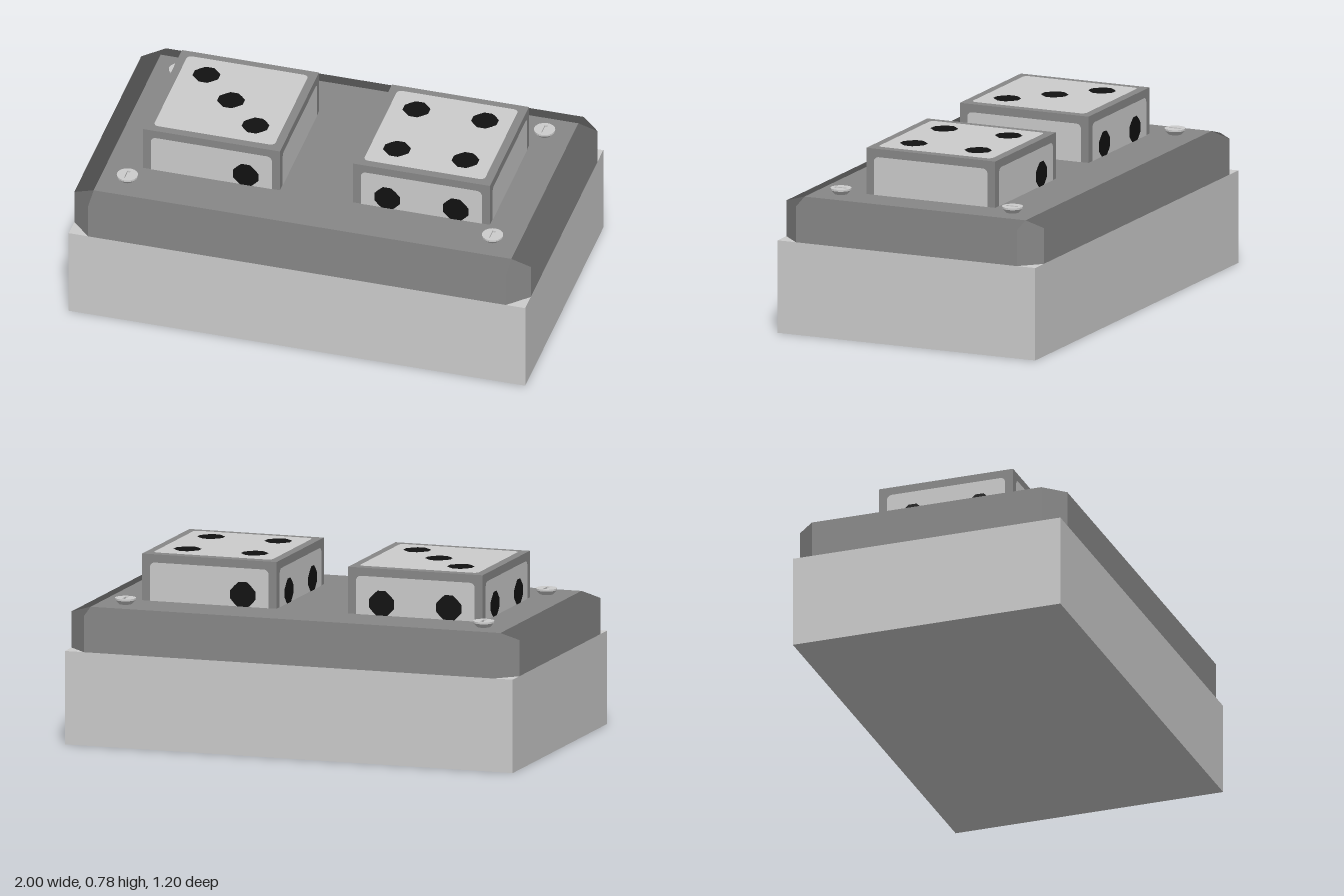
import * as THREE from 'three';

function paint(name, color) {
  const m = new THREE.MeshStandardMaterial({ color });
  m.name = name;
  return m;
}

function add(parent, name, geometry, material, x = 0, y = 0, z = 0) {
  const mesh = new THREE.Mesh(geometry, material);
  mesh.name = name;
  mesh.position.set(x, y, z);
  parent.add(mesh);
  return mesh;
}

function roundedSquare(h, r) {
  const s = new THREE.Shape();
  s.absarc(h - r, h - r, r, 0, Math.PI / 2);
  s.absarc(r - h, h - r, r, Math.PI / 2, Math.PI);
  s.absarc(r - h, r - h, r, Math.PI, Math.PI * 1.5);
  s.absarc(h - r, r - h, r, Math.PI * 1.5, Math.PI * 2);
  return s;
}

// Lid with cut corners; each sloped rim shares the normal of the wall below it
function lidGeometry() {
  const X = 1, Z = 0.6, cut = 0.085, x = X - cut, z = Z - cut;
  const y0 = 0.4, y1 = 0.555, y2 = 0.58;
  const pos = [], nor = [];
  const face = (points, n) => {
    for (let i = 1; i < points.length - 1; i++) {
      for (const p of [points[0], points[i], points[i + 1]]) {
        pos.push(...p);
        nor.push(...n);
      }
    }
  };
  // octagon running front, right, back, left, with the inner corner above each point
  const ring = [[-x, Z], [x, Z], [X, z], [X, -z], [x, -Z], [-x, -Z], [-X, -z], [-X, z]];
  ring.forEach(([ax, az], i) => {
    const [bx, bz] = ring[(i + 1) % 8];
    const len = Math.hypot(bx - ax, bz - az);
    const n = [(az - bz) / len, 0, (bx - ax) / len];
    const inner = (px, pz) => [Math.sign(px) * x, y2, Math.sign(pz) * z];
    face([[ax, y0, az], [bx, y0, bz], [bx, y1, bz], [ax, y1, az]], n);
    const rim = [[ax, y1, az], [bx, y1, bz], inner(bx, bz)];
    if (i % 2 === 0) rim.push(inner(ax, az));
    face(rim, n);
  });
  face([[-x, y2, z], [x, y2, z], [x, y2, -z], [-x, y2, -z]], [0, 1, 0]);
  face(ring.map(([px, pz]) => [px, y0, pz]).reverse(), [0, -1, 0]);
  const g = new THREE.BufferGeometry();
  g.setAttribute('position', new THREE.Float32BufferAttribute(pos, 3));
  g.setAttribute('normal', new THREE.Float32BufferAttribute(nor, 3));
  return g;
}

// Pip layouts by value
const d = 0.15;
const two = [[d, d], [-d, -d]], cross = [[-d, d], [d, -d]];
const PIPS = {
  1: [[0, 0]],
  2: two,
  3: [...cross, [0, 0]],
  4: [...two, ...cross],
  5: [...two, ...cross, [0, 0]],
  6: [...two, ...cross, [-d, 0], [d, 0]],
};

// Face turns: top, bottom, front, back, right (+x), left (-x)
const Q = Math.PI / 2;
const TURNS = [[-Q, 0], [Q, 0], [0, 0], [0, 2 * Q], [0, Q], [0, -Q]];

export function createModel() {
  const model = new THREE.Group();
  model.name = 'diceBox';
  const light = paint('light grey', 0xcccccc);
  const dark = paint('mid grey', 0x888888);
  const black = paint('black', 0x111111);

  add(model, 'base', new THREE.BoxGeometry(2, 0.4, 1.2), light, 0, 0.2, 0);
  add(model, 'lid', lidGeometry(), dark);

  // Dice, partly sunk into the lid
  const panel = new THREE.ShapeGeometry(roundedSquare(0.265, 0.022), 5);
  const outline = [];
  for (let i = 0; i < 4; i++) {
    const c = Math.round(Math.cos(i * Q)), s = Math.round(Math.sin(i * Q));
    for (const [u, v] of [[0.056, -0.018], [0.056, 0.018], [0.038, 0.038]]) {
      outline.push(new THREE.Vector2(u * c - v * s, u * s + v * c));
    }
  }
  const pip = new THREE.ShapeGeometry(new THREE.Shape(outline));

  function makeDie(name, x, values) {
    const die = new THREE.Group();
    die.name = name;
    die.position.set(x, 0.48, 0);
    add(die, 'dieBody', new THREE.BoxGeometry(0.6, 0.6, 0.6), dark);
    values.forEach((value, i) => {
      const side = new THREE.Group();
      side.name = 'dieFace';
      side.rotation.set(TURNS[i][0], TURNS[i][1], 0);
      add(side, 'facePanel', panel, light, 0, 0, 0.3015);
      for (const [u, v] of PIPS[value]) add(side, 'pip', pip, black, u, v, 0.303);
      die.add(side);
    });
    model.add(die);
  }
  makeDie('rightDie', -0.46, [3, 4, 2, 5, 1, 6]);
  makeDie('leftDie', 0.46, [4, 3, 5, 2, 1, 6]);

  // Slotted screws at the lid corners
  const capShape = new THREE.Shape();
  capShape.absarc(0, 0, 0.045, 0, Math.PI * 2);
  const slot = new THREE.Path();
  slot.moveTo(-0.007, -0.027).lineTo(-0.007, 0.027).lineTo(0.007, 0.027).lineTo(0.007, -0.027);
  slot.closePath();
  capShape.holes.push(slot);
  const cap = new THREE.ExtrudeGeometry(capShape, { depth: 0.008, bevelEnabled: false, curveSegments: 12 });
  cap.rotateX(-Q);
  const neck = new THREE.CylinderGeometry(0.045, 0.026, 0.02, 24);
  for (const x of [-0.8, 0.8]) {
    for (const z of [-0.4, 0.4]) {
      const screw = new THREE.Group();
      screw.name = 'screw';
      screw.position.set(x, 0.58, z);
      add(screw, 'screwNeck', neck, light, 0, 0.008, 0);
      add(screw, 'screwCap', cap, light, 0, 0.018, 0);
      model.add(screw);
    }
  }
  return model;
}
